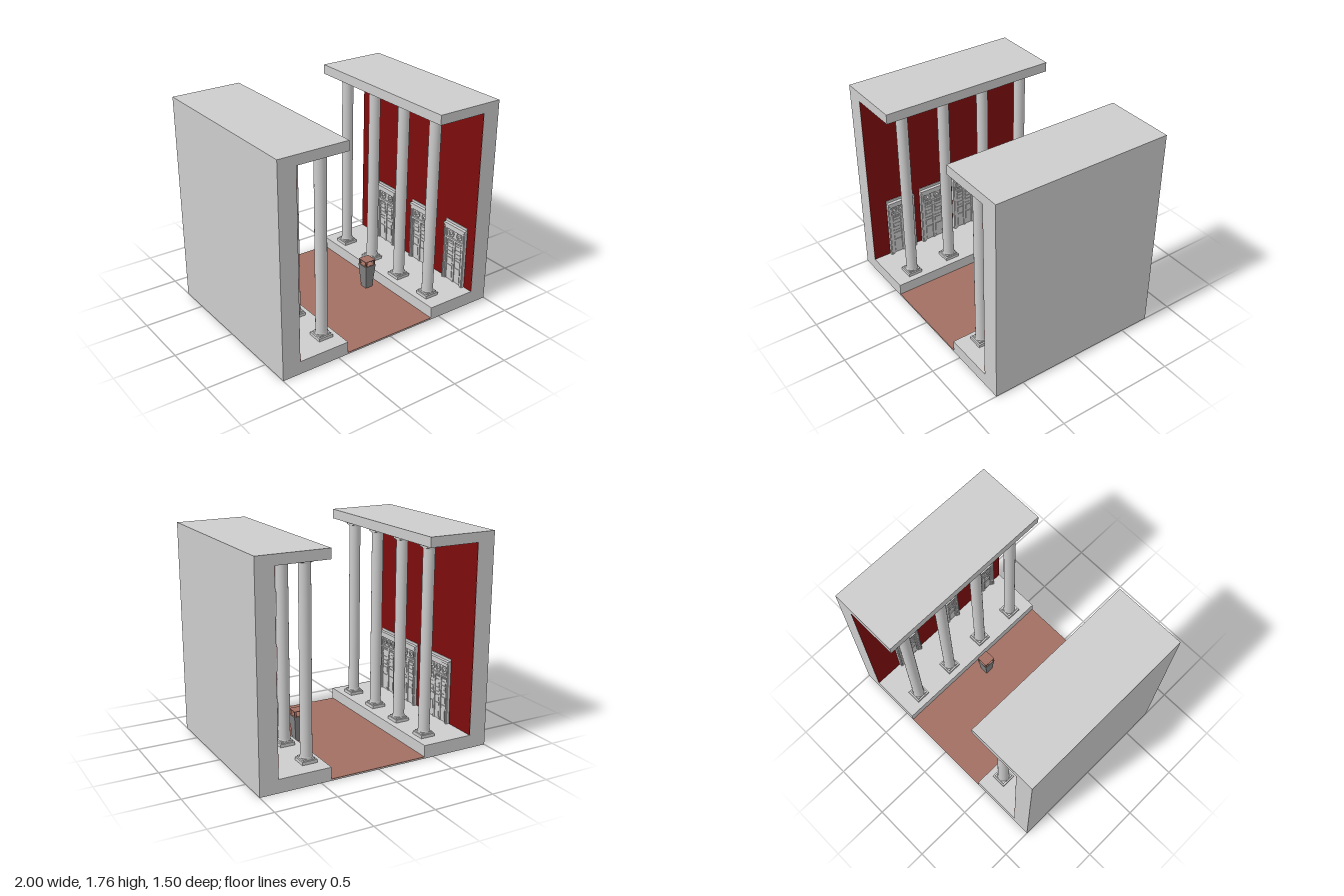
import * as THREE from 'three';

const mat = (name, color) => {
  const m = new THREE.MeshStandardMaterial({ color });
  m.name = name;
  return m;
};

export function createModel() {
  const stone = mat('pale stone', 0xcccccc);
  const red = mat('red plaster', 0x7d0c0c);
  const clay = mat('terracotta', 0xa36f62);
  const iron = mat('dark grey', 0x828282);

  const root = new THREE.Group();
  root.name = 'courtyard';
  const DEPTH = 1.5;

  const add = (parent, name, geo, m, x = 0, y = 0, z = 0) => {
    const mesh = new THREE.Mesh(geo, m);
    mesh.name = name;
    mesh.position.set(x, y, z);
    parent.add(mesh);
    return mesh;
  };
  // Box given by its centre x, bottom y, centre z
  const box = (parent, name, w, h, d, m, x, y, z) =>
    add(parent, name, new THREE.BoxGeometry(w, h, d), m, x, y + h / 2, z);

  // Courtyard floor
  box(root, 'floorSlab', 0.83, 0.01, DEPTH, stone, 0, 0, 0);
  box(root, 'floorPaving', 0.83, 0.005, DEPTH, clay, 0, 0.01, 0);

  // One column, standing on y = 0.11 and reaching y = 1.68
  const makeColumn = (x, z) => {
    const g = new THREE.Group();
    g.name = 'column';
    g.position.set(x, 0, z);
    box(g, 'plinth', 0.125, 0.026, 0.125, stone, 0, 0.11, 0);
    box(g, 'plinthStep', 0.1, 0.014, 0.1, stone, 0, 0.136, 0);
    const profile = [
      [0.05, 0.15], [0.05, 0.16], [0.047, 0.162], [0.047, 1.633],
      [0.05, 1.635], [0.05, 1.645],
    ].map(([r, y]) => new THREE.Vector2(r, y));
    const shaft = new THREE.LatheGeometry(profile, 32);
    add(g, 'shaft', shaft, stone);
    box(g, 'capitalStep', 0.1, 0.016, 0.1, stone, 0, 1.644, 0);
    box(g, 'capital', 0.125, 0.02, 0.125, stone, 0, 1.66, 0);
    return g;
  };

  // One panelled door: x is its width, y = 0 its foot, z points out of the wall
  const makeDoor = (w, h) => {
    const g = new THREE.Group();
    g.name = 'door';
    const jamb = 0.03;
    const inner = w - 2 * jamb;
    const transomY = h * 0.76;
    box(g, 'doorBacking', w - 0.01, h, 0.012, stone, 0, 0, 0.006);
    for (const s of [-1, 1]) {
      box(g, 'jamb', jamb, h - 0.03, 0.026, stone, s * (w - jamb) / 2, 0, 0.013);
      box(g, 'jambMoulding', 0.01, h - 0.03, 0.032, stone, s * (w / 2 - 0.012), 0, 0.016);
    }
    box(g, 'lintel', w, 0.03, 0.028, stone, 0, h - 0.05, 0.014);
    box(g, 'cornice', w, 0.02, 0.035, stone, 0, h - 0.02, 0.0175);
    box(g, 'wallTrim', w, 0.022, 0.006, stone, 0, h, 0.003);
    box(g, 'transomRail', inner, 0.014, 0.026, stone, 0, transomY - 0.014, 0.013);

    // Ring tracery above the leaves
    const tracery = h - 0.05 - transomY;
    const n = Math.max(2, Math.round(inner / tracery));
    for (let i = 0; i < n; i++) {
      const x = -inner / 2 + (i + 0.5) * inner / n;
      const r = Math.min(tracery, inner / n) / 2 - 0.008;
      add(g, 'traceryRing', new THREE.TorusGeometry(r, 0.005, 6, 16), stone,
        x, transomY + tracery / 2, 0.014);
      add(g, 'traceryBoss', new THREE.SphereGeometry(r * 0.4, 10, 6), stone,
        x, transomY + tracery / 2, 0.012);
    }

    // Leaves with raised panels
    const leaves = w > 0.3 ? 4 : 2;
    const leafW = inner / leaves;
    const rows = [[0.02, 0.12], [0.16, 0.05], [0.23, transomY - 0.265]];
    for (let i = 0; i < leaves; i++) {
      const x = -inner / 2 + (i + 0.5) * leafW;
      for (const s of [-1, 1]) {
        box(g, 'stile', 0.01, transomY - 0.014, 0.02, stone, x + s * (leafW / 2 - 0.005), 0, 0.01);
      }
      for (const [y, ph] of rows) {
        box(g, 'panel', leafW - 0.034, ph, 0.018, stone, x, y, 0.009);
      }
      // Lattice bars across the tall panel
      for (let k = 0; k < 5; k++) {
        box(g, 'latticeBar', leafW - 0.02, 0.006, 0.021, stone, x, 0.235 + k * 0.036, 0.0105);
      }
    }
    return g;
  };

  // Galleries: porch, wall and roof in one section, mirrored across x = 0
  const doors = {
    '-1': [[0.465, 0.26], [0.145, 0.25], [-0.265, 0.4]],
    '1': [[-0.375, 0.25], [0.095, 0.25], [0.535, 0.25]],
  };
  for (const side of [-1, 1]) {
    const gallery = new THREE.Group();
    gallery.name = side > 0 ? 'leftGallery' : 'rightGallery';
    root.add(gallery);

    const section = new THREE.Shape([
      [0.415, 0], [1, 0], [1, 1.76], [0.415, 1.76],
      [0.415, 1.68], [0.85, 1.68], [0.85, 0.11], [0.415, 0.11],
    ].map(([x, y]) => new THREE.Vector2(side * x, y)));
    const shell = new THREE.ExtrudeGeometry(section, { depth: DEPTH, bevelEnabled: false });
    add(gallery, 'galleryShell', shell, stone, 0, 0, -DEPTH / 2);
    box(gallery, 'redWall', 0.003, 1.57, DEPTH - 0.002, red, side * 0.849, 0.11, 0);

    for (let i = 0; i < 4; i++) gallery.add(makeColumn(side * 0.53, (i - 1.5) * 0.375));

    for (const [z, w] of doors[side]) {
      const door = makeDoor(w, side < 0 ? 0.537 : 0.527);
      door.position.set(side * 0.849, 0.11, z);
      door.rotation.y = -side * Math.PI / 2;
      gallery.add(door);
    }
  }

  // Tapered pedestal with an open clay lantern top
  const pedestal = new THREE.Group();
  pedestal.name = 'pedestal';
  pedestal.position.set(0.298, 0, 0.045);
  root.add(pedestal);
  const body = new THREE.CylinderGeometry(0.052 * Math.SQRT2, 0.034 * Math.SQRT2, 0.215, 4)
    .rotateY(Math.PI / 4).toNonIndexed();
  body.computeVertexNormals();
  add(pedestal, 'pedestalBody', body, iron, 0, 0.1225, 0);
  box(pedestal, 'pedestalTop', 0.094, 0.004, 0.094, clay, 0, 0.229, 0);
  for (const sx of [-1, 1]) {
    for (const sz of [-1, 1]) {
      box(pedestal, 'lanternPost', 0.014, 0.042, 0.014, clay, sx * 0.042, 0.232, sz * 0.042);
    }
  }
  box(pedestal, 'lanternLid', 0.1, 0.005, 0.1, clay, 0, 0.273, 0);

  return root;
}
